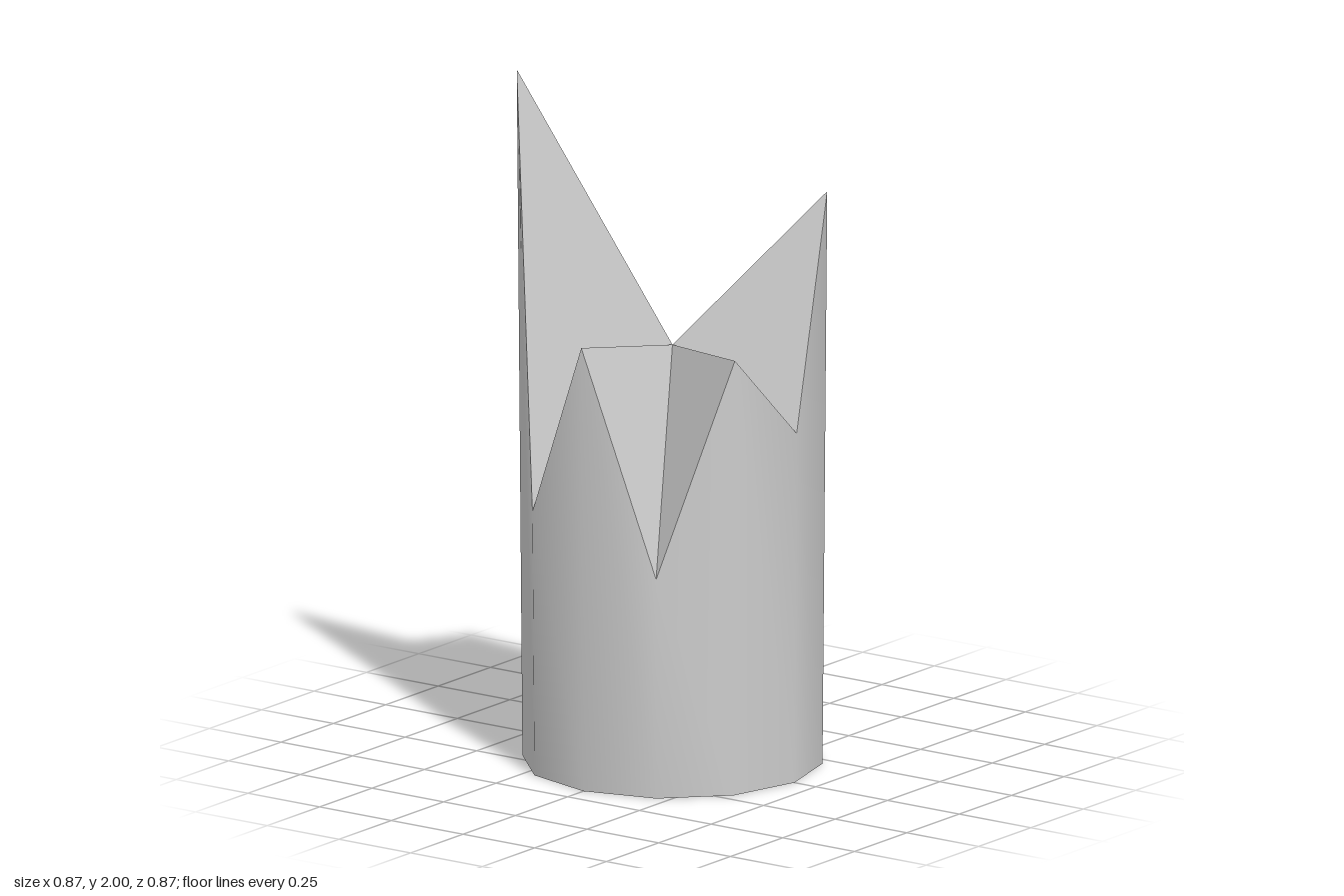
import * as THREE from 'three';

// Rim height of each corner, from +x turning towards +z
const RIM = [1.355, 1.21, 1.67, 1.02, 1.27, 0.64, 1.295, 0.77, 2.0, 1.305, 1.23, 0.66];
const SIDES = RIM.length;
const CENTRE_HEIGHT = 1.21;

// Corner i at height y; the trunk widens very slightly upwards
function corner(i, y) {
  const a = (i / SIDES) * Math.PI * 2;
  const r = 0.425 + 0.008 * y;
  return [r * Math.cos(a), y, r * Math.sin(a)];
}

function buildMesh(name, points, index, flatShading) {
  const geometry = new THREE.BufferGeometry();
  geometry.setAttribute('position', new THREE.Float32BufferAttribute(points.flat(), 3));
  geometry.setIndex(index);
  geometry.computeVertexNormals();
  const material = new THREE.MeshStandardMaterial({
    color: 0xcccccc, flatShading, side: THREE.DoubleSide,
  });
  const mesh = new THREE.Mesh(geometry, material);
  mesh.name = name;
  return mesh;
}

export function createModel() {
  const group = new THREE.Group();
  group.name = 'brokenStump';

  const base = RIM.map((_, i) => corner(i, 0));
  const rim = RIM.map((y, i) => corner(i, y));
  const wallIndex = [];
  const topIndex = [];
  for (let i = 0; i < SIDES; i++) {
    const j = (i + 1) % SIDES;
    wallIndex.push(i, SIDES + i, SIDES + j, i, SIDES + j, j);
    topIndex.push(SIDES, j, i);
  }

  // Smooth outer wall, open at the bottom
  group.add(buildMesh('trunkWall', [...base, ...rim], wallIndex, false));

  // Splintered top: a faceted fan from the centre to the jagged rim
  group.add(buildMesh('splinteredTop', [...rim, [0, CENTRE_HEIGHT, 0]], topIndex, true));

  return group;
}
